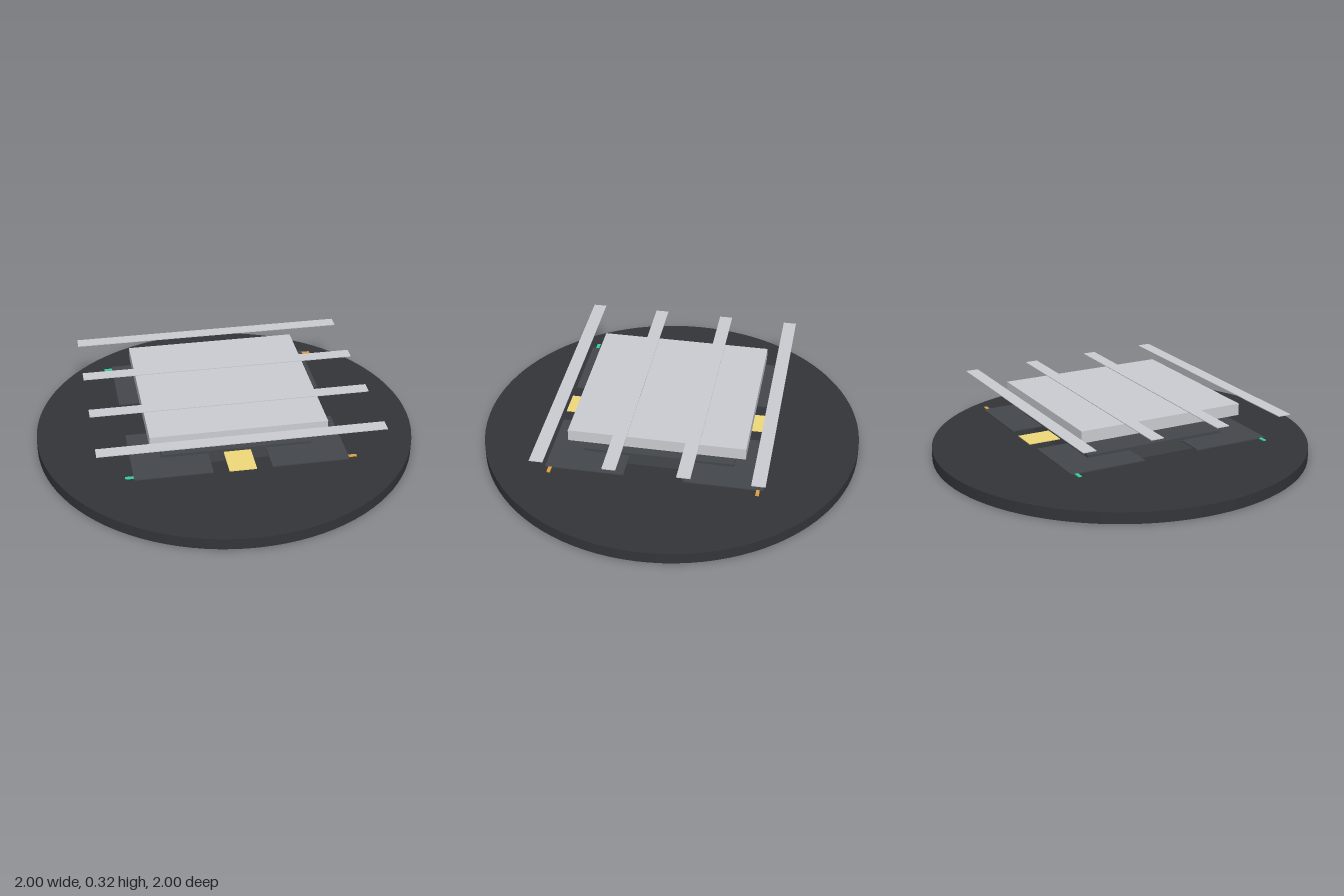
import * as THREE from 'three';

const mat = (color) => new THREE.MeshStandardMaterial({ color });
const grey = mat(0xcacdd2), baseDark = mat(0x343539), coreDark = mat(0x44484c);
const gold = mat(0xf0d97a), green = mat(0x35d0a0), orange = mat(0xe0a040);

export function createModel() {
  const model = new THREE.Group();

  const box = (name, w, h, d, x, y, z, material) => {
    const mesh = new THREE.Mesh(new THREE.BoxGeometry(w, h, d), material);
    mesh.name = name;
    mesh.position.set(x, y, z);
    model.add(mesh);
  };

  // Round base
  const base = new THREE.Mesh(new THREE.CylinderGeometry(1, 1, 0.06, 96), baseDark);
  base.name = 'baseDisc';
  base.position.y = 0.03;
  model.add(base);

  // Floating core block and upper slab
  box('coreBlock', 0.776, 0.07, 0.776, 0, 0.127, 0, coreDark);
  box('upperSlab', 0.906, 0.062, 0.906, 0, 0.287, 0, grey);

  for (const sz of [-1, 1]) {
    // Gold tab out of the front and back of the core
    box('goldTab', 0.14, 0.004, 0.18, 0, 0.145, sz * 0.47, gold);

    // Long slats across the top
    for (const z of [0.184, 0.547])
      box('slat', 1.454, 0.004, 0.069, 0, 0.321, sz * z, grey);

    // Corner plates with a small light at each outer corner
    for (const sx of [-1, 1]) {
      box('cornerPlate', 0.397, 0.005, 0.405, sx * 0.348, 0.145, sz * 0.354, coreDark);
      box('cornerLight', 0.045, 0.004, 0.018, sx * 0.566, 0.145, sz * 0.53, sx < 0 ? green : orange);
    }
  }
  return model;
}
